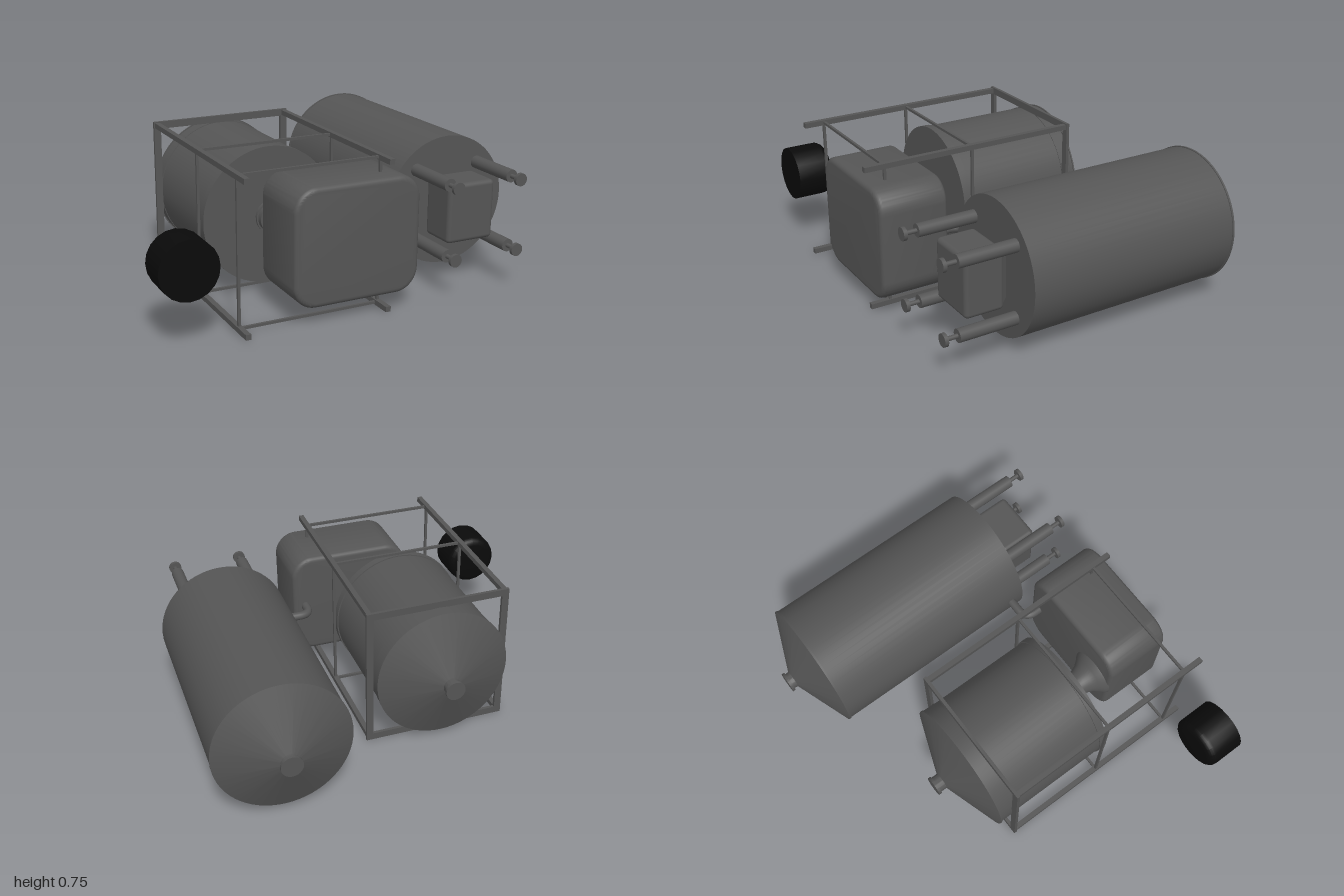
import * as THREE from 'three';
import { toCreasedNormals } from 'three/addons/utils/BufferGeometryUtils.js';
import { RoundedBoxGeometry } from 'three/addons/geometries/RoundedBoxGeometry.js';

const steel = new THREE.MeshStandardMaterial({ color: 0x555555 });
steel.name = 'dark steel';
const black = new THREE.MeshStandardMaterial({ color: 0x0a0a0a });
black.name = 'black';

export function createModel() {
  const root = new THREE.Group();
  root.name = 'tankPlant';
  // Upright workspace: y is height above the feet. It is laid down so that height runs to -z.
  const plant = new THREE.Group();
  plant.name = 'plant';
  plant.rotation.x = -Math.PI / 2;
  plant.position.set(0, 0.375, 0.825);
  root.add(plant);

  const add = (parent, name, geometry, x = 0, y = 0, z = 0, material = steel) => {
    const mesh = new THREE.Mesh(geometry, material);
    mesh.name = name;
    mesh.position.set(x, y, z);
    parent.add(mesh);
    return mesh;
  };
  const group = (name, x = 0) => {
    const g = new THREE.Group();
    g.name = name;
    g.position.x = x;
    plant.add(g);
    return g;
  };
  // Turned part from [radius, height] pairs, bottom to top
  const turned = (pairs, sides = 64) => toCreasedNormals(
    new THREE.LatheGeometry(pairs.map(([r, h]) => new THREE.Vector2(r, h)), sides), 0.35);

  // Tall tank
  const tall = group('tallTank', 0.662);
  add(tall, 'tallTankBody', turned([[0, 0.37], [0.333, 0.37], [0.333, 1.485], [0.337, 1.485],
    [0.337, 1.495], [0.045, 1.615], [0.042, 1.635], [0.053, 1.635], [0.053, 1.65], [0, 1.65]]));

  // Adjustable legs
  for (const x of [-0.178, 0.178]) for (const z of [-0.178, 0.178]) {
    add(tall, 'leg', new THREE.CylinderGeometry(0.032, 0.032, 0.295, 24), x, 0.2225, z);
    add(tall, 'legRod', new THREE.CylinderGeometry(0.011, 0.011, 0.07, 16), x, 0.045, z);
    add(tall, 'foot', new THREE.CylinderGeometry(0.032, 0.032, 0.018, 24), x, 0.009, z);
  }

  // Outlet box with a tapered collar below the tall tank
  add(tall, 'outletBox', new RoundedBoxGeometry(0.264, 0.2, 0.3, 4, 0.022), 0, 0.243, 0);
  const collar = new THREE.CylinderGeometry(0.19 / Math.SQRT2, 0.245 / Math.SQRT2, 0.05, 4);
  collar.rotateY(Math.PI / 4);
  collar.scale(1, 1, 1.15);
  add(tall, 'outletCollar', toCreasedNormals(collar, 0.5), 0, 0.35, 0);

  // Short tank with conical lid
  const short = group('shortTank', -0.242);
  add(short, 'shortTankBody', turned([[0, 0.54], [0.343, 0.54], [0.343, 0.58], [0.337, 0.58],
    [0.337, 1.13], [0.34, 1.13], [0.34, 1.2], [0.345, 1.2], [0.345, 1.207], [0.043, 1.32],
    [0.043, 1.355], [0.05, 1.355], [0.05, 1.37], [0, 1.37]]));

  // Stepped, flared outlet leading into the container
  add(short, 'outletNeck', turned([[0.13, 0.345], [0.122, 0.36], [0.1, 0.382], [0.08, 0.41],
    [0.069, 0.44], [0.064, 0.475], [0.074, 0.475], [0.074, 0.505], [0.082, 0.505],
    [0.082, 0.515], [0.072, 0.515], [0.072, 0.545]], 40));

  // Rounded container
  const w = 0.2975, d = 0.259, r = 0.09, bevel = 0.025;
  const outline = new THREE.Shape();
  outline.absarc(w - r, d - r, r, 0, Math.PI / 2);
  outline.absarc(r - w, d - r, r, Math.PI / 2, Math.PI);
  outline.absarc(r - w, r - d, r, Math.PI, Math.PI * 1.5);
  outline.absarc(w - r, r - d, r, Math.PI * 1.5, Math.PI * 2);
  outline.closePath();
  const shell = new THREE.ExtrudeGeometry(outline, { depth: 0.352 - 2 * bevel, curveSegments: 10,
    bevelEnabled: true, bevelSize: bevel, bevelThickness: bevel, bevelSegments: 5 });
  shell.rotateX(-Math.PI / 2);
  add(plant, 'container', toCreasedNormals(shell, 0.5), -0.048, bevel, 0);

  // Elbow pipe from the container to the tall tank
  const bend = new THREE.CurvePath();
  const v = (x, y) => new THREE.Vector3(x, y, 0);
  bend.add(new THREE.LineCurve3(v(0.208, 0.34), v(0.208, 0.38)));
  bend.add(new THREE.QuadraticBezierCurve3(v(0.208, 0.38), v(0.208, 0.442), v(0.27, 0.442)));
  bend.add(new THREE.LineCurve3(v(0.27, 0.442), v(0.36, 0.442)));
  add(plant, 'elbowPipe', new THREE.TubeGeometry(bend, 32, 0.022, 16));

  // Support frame: four posts tied by rings of bars
  const frame = group('frame', -0.24);
  const half = 0.355;
  const ring = (name, y, width, thick) => {
    for (const s of [-1, 1]) {
      add(frame, name, new THREE.BoxGeometry(2 * half + width, thick, width), 0, y, s * half);
      add(frame, name, new THREE.BoxGeometry(width, thick, 2 * half - width), s * half, y, 0);
    }
  };
  for (const x of [-half, half]) for (const z of [-half, half])
    add(frame, 'post', new THREE.BoxGeometry(0.026, 1.125, 0.026), x, 0.5625, z);
  ring('lowerBar', 0.105, 0.013, 0.013);
  ring('middleBar', 0.575, 0.013, 0.013);
  ring('topBar', 1.128, 0.036, 0.016);

  // Black bucket with a rounded end
  const bucket = [[0, 0], [0.14, 0], [0.14, 0.155]];
  for (let i = 1; i <= 5; i++) {
    const a = (i / 5) * Math.PI / 2;
    bucket.push([0.1 + 0.04 * Math.cos(a), 0.155 + 0.04 * Math.sin(a)]);
  }
  bucket.push([0, 0.195]);
  add(plant, 'bucket', turned(bucket, 20), -0.86, 0, 0, black);

  return root;
}
